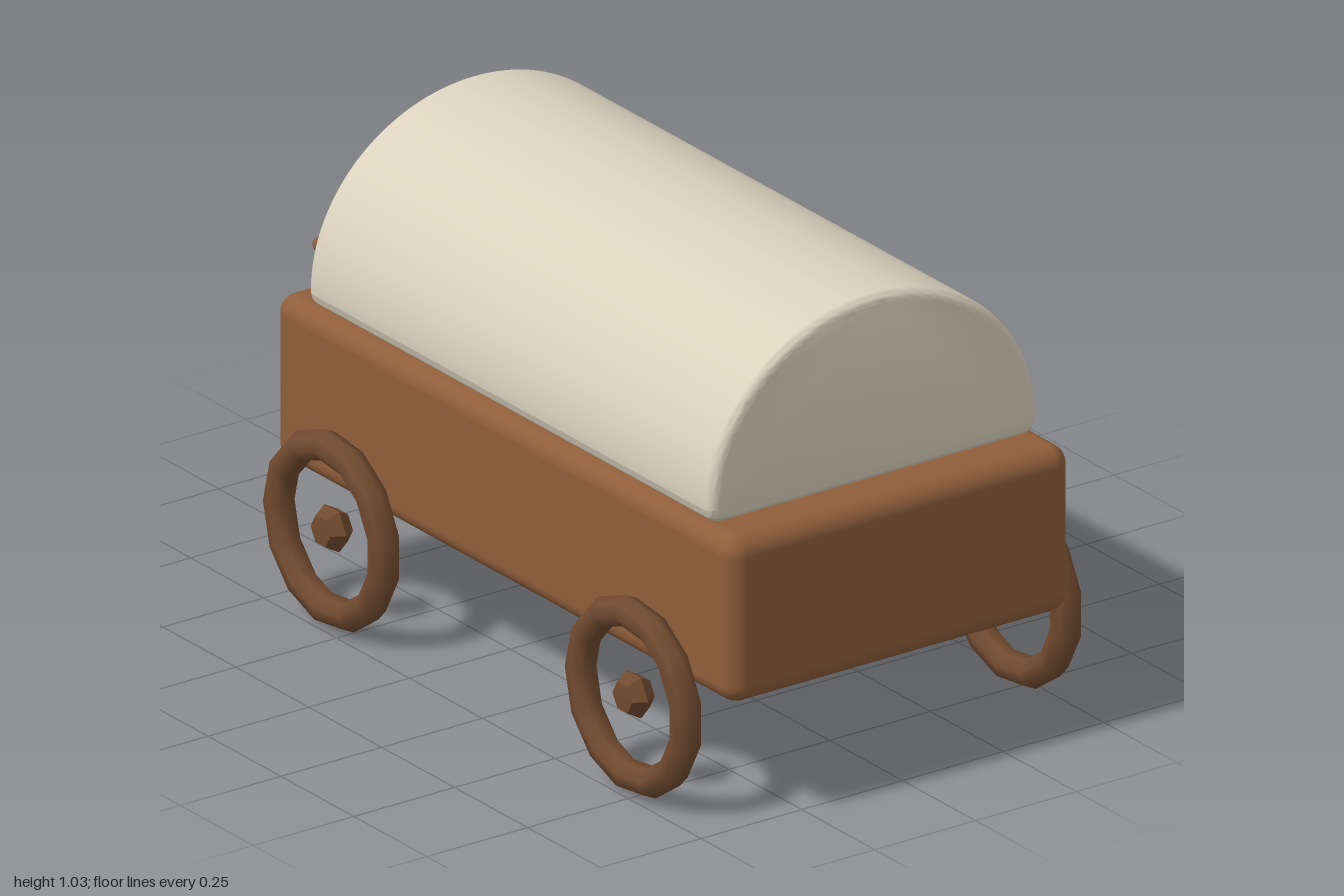
import * as THREE from 'three';
import { toCreasedNormals } from 'three/addons/utils/BufferGeometryUtils.js';
import { RoundedBoxGeometry } from 'three/addons/geometries/RoundedBoxGeometry.js';

const mat = (name, color) => {
  const m = new THREE.MeshStandardMaterial({ color });
  m.name = name;
  return m;
};

export function createModel() {
  const wood = mat('wagon wood', 0x8f5e3b);
  const darkWood = mat('wheel wood', 0x714a2f);
  const canvas = mat('canvas', 0xdbd2be);
  const yellow = mat('seat yellow', 0xe0b03f);

  const group = new THREE.Group();
  group.name = 'coveredWagon';
  const add = (name, geometry, material, x, y, z, parent = group) => {
    const mesh = new THREE.Mesh(geometry, material);
    mesh.name = name;
    mesh.position.set(x, y, z);
    parent.add(mesh);
    return mesh;
  };

  // Wagon box with softly rounded edges
  add('wagonBox', new RoundedBoxGeometry(0.85, 0.365, 1.575, 5, 0.042), wood, 0, 0.4475, 0.2125);

  // Half-round canvas cover; the bevel rounds both end rims
  const bevel = 0.022;
  const r = 0.408 - bevel;
  const arch = new THREE.Shape();
  arch.moveTo(-r + 0.015, 0);
  arch.lineTo(r - 0.015, 0);
  arch.quadraticCurveTo(r, 0, r, 0.015);
  arch.absellipse(0, 0.015, r, 0.362 - 0.015, 0, Math.PI, false);
  arch.quadraticCurveTo(-r, 0, -r + 0.015, 0);
  const coverGeo = new THREE.ExtrudeGeometry(arch, {
    depth: 1.385 - 2 * bevel, curveSegments: 32,
    bevelEnabled: true, bevelThickness: bevel, bevelSize: bevel, bevelSegments: 5,
  });
  add('canvasCover', toCreasedNormals(coverGeo, 0.7), canvas, 0, 0.628 + bevel, -0.48 + bevel);

  // Sloping seat wedge at the pole end, profile drawn as (-z, y)
  const wedge = new THREE.Shape();
  wedge.moveTo(0.45, 0.61);
  wedge.lineTo(0.558, 0.61);
  wedge.lineTo(0.571, 0.622);
  wedge.lineTo(0.563, 0.642);
  wedge.lineTo(0.477, 0.698);
  wedge.lineTo(0.45, 0.698);
  const seatGeo = new THREE.ExtrudeGeometry(wedge, {
    depth: 0.276, bevelEnabled: true, bevelThickness: 0.01, bevelSize: 0.006, bevelSegments: 2,
  });
  seatGeo.translate(0, 0, -0.138);
  seatGeo.rotateY(Math.PI / 2);
  add('seat', toCreasedNormals(seatGeo, 0.5), yellow, -0.002, 0, 0);

  // Draw pole flaring where it meets the box
  const poleProfile = [
    [0.045, 0], [0.028, 0.018], [0.019, 0.035], [0.017, 0.06],
    [0.017, 0.42], [0.013, 0.43], [0, 0.43],
  ].map(([x, y]) => new THREE.Vector2(x, y));
  const poleGeo = new THREE.LatheGeometry(poleProfile, 12);
  poleGeo.rotateX(-Math.PI / 2);
  add('drawPole', poleGeo, wood, -0.004, 0.48, -0.57);

  // Wheels: chunky low-sided rims, each with a small faceted hub
  const rimGeo = new THREE.TorusGeometry(0.18, 0.033, 7, 13);
  rimGeo.rotateY(Math.PI / 2);
  const hubProfile = [[0, -0.032], [0.034, -0.028], [0.051, 0], [0.034, 0.028], [0, 0.032]]
    .map(([x, y]) => new THREE.Vector2(x, y));
  const hubGeo = toCreasedNormals(new THREE.LatheGeometry(hubProfile, 6), 0.4);
  hubGeo.rotateZ(-Math.PI / 2);
  for (const [end, z] of [['front', 0.73], ['rear', -0.305]]) {
    for (const [side, x] of [['Left', 0.472], ['Right', -0.472]]) {
      const wheel = new THREE.Group();
      wheel.name = `${end}${side}Wheel`;
      wheel.position.set(x, 0.215, z);
      add('rim', rimGeo, darkWood, 0, 0, 0, wheel);
      add('hub', hubGeo, darkWood, 0, 0.003, 0, wheel);
      group.add(wheel);
    }
  }
  return group;
}
